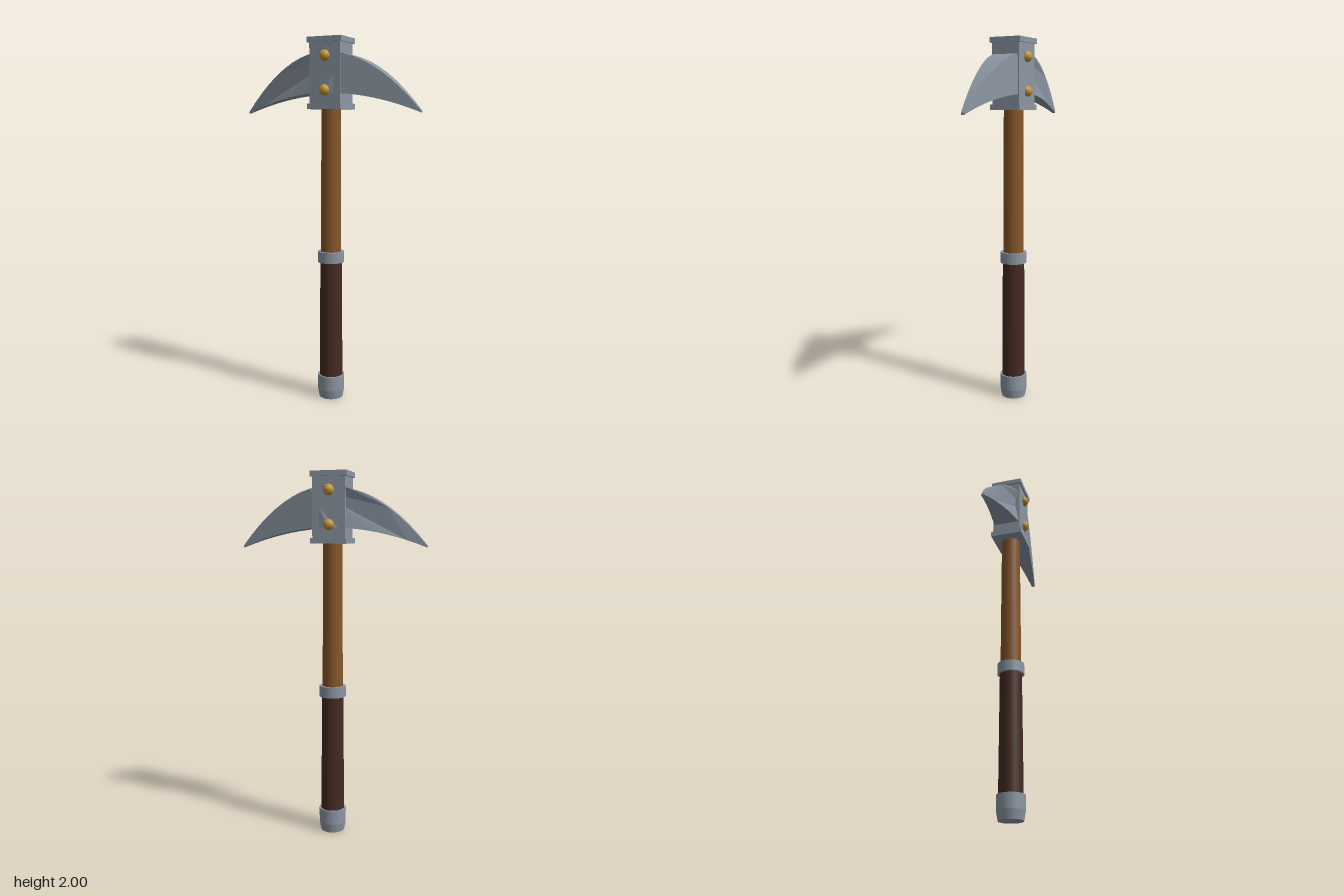
import * as THREE from 'three';

const steel = new THREE.MeshStandardMaterial({ name: 'steel', color: 0x8c96a3 });
const wood = new THREE.MeshStandardMaterial({ name: 'wood', color: 0x855629 });
const leather = new THREE.MeshStandardMaterial({ name: 'leather', color: 0x452a21 });
const brass = new THREE.MeshStandardMaterial({ name: 'brass', color: 0xc0953a });

export function createModel() {
  const group = new THREE.Group();

  const add = (name, geometry, material, x = 0, y = 0, z = 0) => {
    const mesh = new THREE.Mesh(geometry, material);
    mesh.name = name;
    mesh.position.set(x, y, z);
    group.add(mesh);
    return mesh;
  };
  // Upright round part between two heights
  const round = (name, rTop, rBottom, y0, y1, material) =>
    add(name, new THREE.CylinderGeometry(rTop, rBottom, y1 - y0, 32), material, 0, (y0 + y1) / 2);

  // Handle, grip and metal fittings
  round('handle', 0.051, 0.06, 0.1, 2, wood);
  round('grip', 0.06, 0.065, 0.1, 0.79, leather);
  round('gripRing', 0.073, 0.073, 0.78, 0.84, steel);
  round('pommel', 0.075, 0.075, 0.05, 0.13, steel);
  round('pommelEnd', 0.075, 0.066, 0, 0.05, steel);

  // Head block with a collar plate at each end
  add('headBlock', new THREE.BoxGeometry(0.18, 0.36, 0.16), steel, 0, 1.81);
  add('topCollar', new THREE.BoxGeometry(0.2, 0.028, 0.18), steel, 0, 1.984);
  add('bottomCollar', new THREE.BoxGeometry(0.2, 0.03, 0.18), steel, 0, 1.635);

  // Curved double pick: one crescent, thinned towards both tips
  const tip = 0.515;
  const crescent = new THREE.Shape();
  crescent.moveTo(-tip, 1.61);
  crescent.quadraticCurveTo(0, 2.23, tip, 1.61);
  crescent.lineTo(tip, 1.6);
  crescent.quadraticCurveTo(0, 1.81, -tip, 1.6);
  crescent.closePath();
  const blade = new THREE.ExtrudeGeometry(crescent, { depth: 2, bevelEnabled: false, curveSegments: 20 });
  blade.translate(0, 0, -1);
  const p = blade.attributes.position;
  for (let i = 0; i < p.count; i++) {
    p.setZ(i, p.getZ(i) * (0.088 - 0.152 * Math.abs(p.getX(i))));
  }
  blade.computeVertexNormals();
  add('pickBlade', blade, steel);

  // Rivets on the front and back of the head
  for (const z of [-0.08, 0.08]) {
    for (const y of [1.72, 1.9]) {
      add('rivet', new THREE.SphereGeometry(0.03, 20, 14), brass, 0, y, z);
    }
  }
  return group;
}
